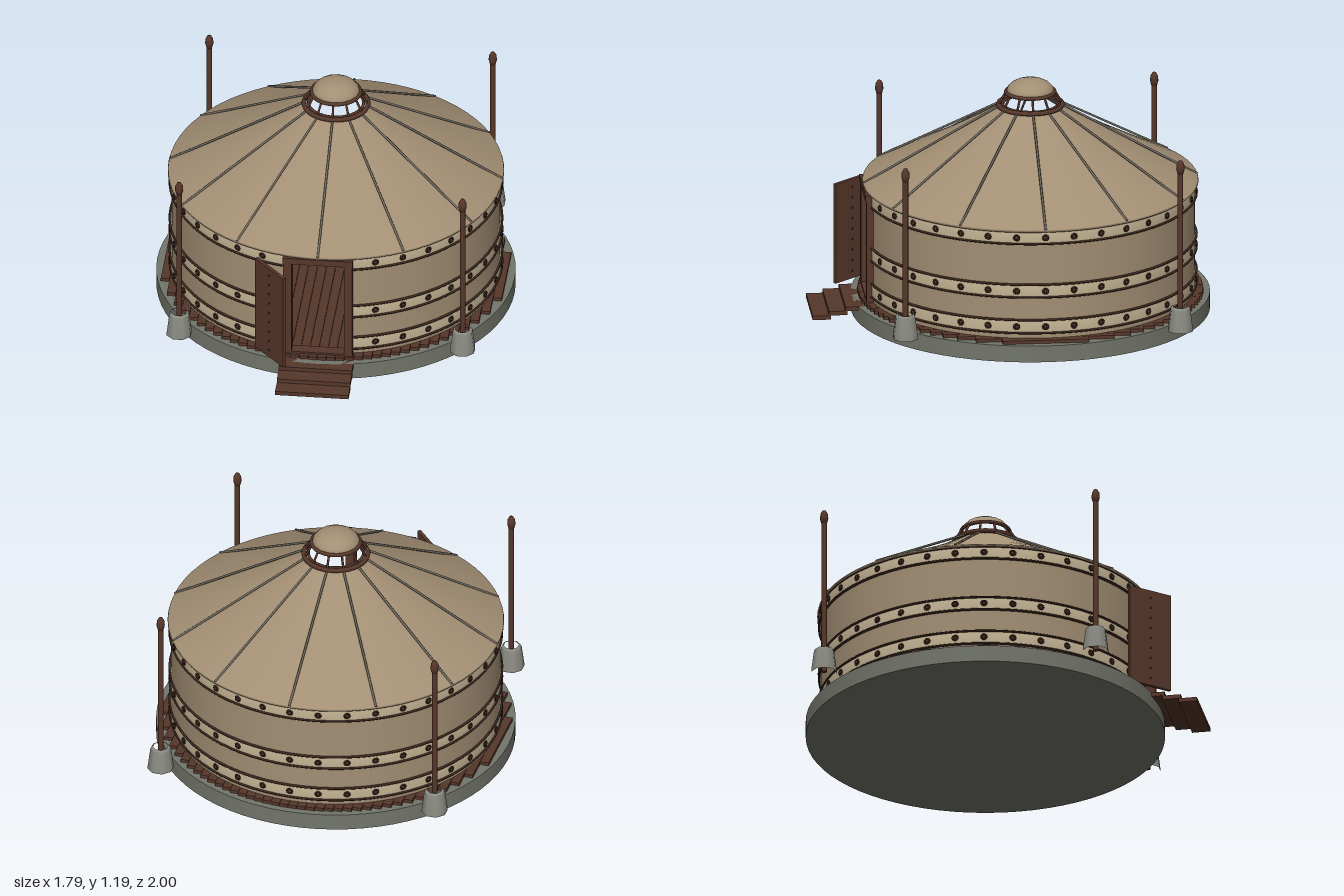
import * as THREE from 'three';

const mat = (name, color) => {
  const m = new THREE.MeshStandardMaterial({ color });
  m.name = name;
  return m;
};

export function createModel() {
  const felt = mat('felt', 0xa38f74);
  const trim = mat('pale trim', 0xc6b696);
  const wood = mat('brown wood', 0x57372a);
  const dark = mat('dark cord', 0x38241b);
  const stone = mat('platform stone', 0x73766b);
  const footing = mat('footing stone', 0x8b8c83);
  const rope = mat('rope', 0x6f695e);

  const model = new THREE.Group();
  model.name = 'roundTent';
  const tent = new THREE.Group();
  tent.name = 'tent';
  tent.position.z = -0.105;
  model.add(tent);

  const add = (parent, name, geo, material, x = 0, y = 0, z = 0) => {
    const m = new THREE.Mesh(geo, material);
    m.name = name;
    m.position.set(x, y, z);
    parent.add(m);
    return m;
  };
  const box = (w, h, d) => new THREE.BoxGeometry(w, h, d);
  const lathe = (pts, seg = 72, start = 0, len = Math.PI * 2) =>
    new THREE.LatheGeometry(pts.map(p => new THREE.Vector2(...p)), seg, start, len);
  // rod between two points
  const rod = (parent, name, a, b, r, material, sides = 6) => {
    const p = new THREE.Vector3(...a), q = new THREE.Vector3(...b);
    const dir = q.clone().sub(p);
    const m = add(parent, name, new THREE.CylinderGeometry(r, r, dir.length(), sides), material);
    m.position.copy(p).add(q).multiplyScalar(0.5);
    m.quaternion.setFromUnitVectors(new THREE.Vector3(0, 1, 0), dir.normalize());
    return m;
  };

  // stone platform
  add(tent, 'platform', new THREE.CylinderGeometry(0.895, 0.895, 0.085, 72), stone, 0, 0.0425, 0);

  // floor planks cut to a stepped circle
  for (let i = 0; i < 38; i++) {
    const x = (i + 0.5) * 0.045 - 0.855;
    add(tent, 'floorPlank', box(0.0435, 0.018, 2 * Math.sqrt(0.86 ** 2 - x * x)), wood, x, 0.093, 0);
  }

  // felt wall with a gap for the doorway
  const gap = 0.2, sweep = Math.PI * 2 - gap * 2;
  const ringStrip = (name, pts, material) => add(tent, name, lathe(pts, 72, gap, sweep), material);
  ringStrip('wall', [[0.82, 0.1], [0.82, 0.66]], felt);

  // trim bands edged with cord and studded with bolts
  const stud = new THREE.TorusGeometry(0.013, 0.005, 5, 10);
  const studCore = new THREE.SphereGeometry(0.008, 8, 5);
  for (const [low, high] of [[0.13, 0.198], [0.317, 0.383], [0.597, 0.662]]) {
    ringStrip('trimBand', [[0.82, low], [0.826, low], [0.826, high], [0.82, high]], trim);
    for (const y of [low, high]) {
      ringStrip('bandCord', [[0.824, y - 0.006], [0.832, y - 0.004], [0.834, y], [0.832, y + 0.004], [0.824, y + 0.006]], dark);
    }
    for (let i = 2; i < 35; i++) {
      const a = i * Math.PI / 18;
      const g = new THREE.Group();
      g.name = 'bandStud';
      g.position.set(Math.sin(a) * 0.829, (low + high) / 2, Math.cos(a) * 0.829);
      g.rotation.y = a;
      add(g, 'studRing', stud, dark);
      add(g, 'studCore', studCore, wood);
      tent.add(g);
    }
  }

  // conical roof and its ropes
  add(tent, 'roof', lathe([[0.82, 0.655], [0.838, 0.662], [0.835, 0.672], [0.65, 0.767], [0.45, 0.873], [0.28, 0.971], [0.15, 1.052]]), felt);
  for (let i = 0; i < 12; i++) {
    const a = i * Math.PI / 6, s = Math.sin(a), c = Math.cos(a);
    rod(tent, 'roofRope', [s * 0.15, 1.06, c * 0.15], [s * 0.835, 0.672, c * 0.835], 0.006, rope);
    // crown spokes
    rod(tent, 'crownSpoke', [s * 0.16, 1.06, c * 0.16], [s * 0.122, 1.126, c * 0.122], 0.006, wood);
  }

  // crown rings and cap
  for (const [r, y, t] of [[0.16, 1.06, 0.012], [0.138, 1.062, 0.008], [0.121, 1.126, 0.01]]) {
    add(tent, 'crownRing', new THREE.TorusGeometry(r, t, 8, 36), wood, 0, y, 0).rotation.x = Math.PI / 2;
  }
  add(tent, 'crownCap', new THREE.SphereGeometry(0.12, 16, 5, 0, Math.PI * 2, 0, Math.PI / 2), felt, 0, 1.128, 0).scale.y = 0.55;

  // doorway frame
  for (const side of [-1, 1]) {
    add(tent, 'doorJamb', box(0.042, 0.56, 0.06), wood, side * 0.152, 0.375, 0.805);
  }
  add(tent, 'doorLintel', box(0.35, 0.034, 0.065), wood, 0, 0.644, 0.807);
  add(tent, 'doorSill', box(0.35, 0.024, 0.06), wood, 0, 0.1, 0.805);

  // open door leaf with rivets
  const door = new THREE.Group();
  door.name = 'door';
  door.position.set(-0.232, 0.36, 0.77);
  door.rotation.y = -Math.atan2(0.18, 0.16);
  add(door, 'doorLeaf', box(0.24, 0.52, 0.018), wood);
  for (let i = 0; i < 9; i++) {
    for (const z of [-0.009, 0.009]) {
      add(door, 'doorRivet', new THREE.SphereGeometry(0.005, 6, 4), dark, 0, i * 0.055 - 0.22, z);
    }
  }
  model.add(door);

  // front steps
  for (let i = 0; i < 3; i++) {
    add(model, 'step', box(0.368, 0.021, 0.092), wood, 0, 0.0745 - i * 0.0215, 0.79 + i * 0.082);
  }

  // four posts standing in hollow octagonal footings
  for (const x of [-0.71, 0.71]) {
    for (const z of [-0.79, 0.585]) {
      const post = new THREE.Group();
      post.name = 'post';
      post.position.set(x, 0, z);
      add(post, 'footing', lathe([[0.065, 0.086], [0.065, 0.1], [0.052, 0.2], [0.047, 0.21], [0.038, 0.212]], 8), footing).rotation.y = Math.PI / 8;
      rod(post, 'pole', [0, 0.09, 0], [0, 0.92, 0], 0.014, wood, 10);
      add(post, 'poleTip', lathe([[0, 0.9], [0.014, 0.905], [0.021, 0.93], [0.019, 0.955], [0.01, 0.973], [0, 0.977]], 12), wood);
      model.add(post);
    }
  }

  // robe with hat and boots on a stand, beside a round shield
  const stand = new THREE.Group();
  stand.name = 'robeStand';
  stand.position.set(0, 0, -0.5);
  tent.add(stand);
  add(stand, 'robe', lathe([[0, 0.23], [0.075, 0.235], [0.06, 0.36], [0.07, 0.46], [0.045, 0.495], [0, 0.51]], 16), wood).scale.z = 0.6;
  add(stand, 'mask', new THREE.SphereGeometry(0.032, 12, 8), dark, 0, 0.535, 0.01);
  add(stand, 'hat', lathe([[0, 0.55], [0.045, 0.552], [0.04, 0.58], [0.02, 0.6], [0, 0.605]], 12), wood);
  for (const side of [-1, 1]) {
    rod(stand, 'hatHorn', [side * 0.03, 0.57, 0], [side * 0.09, 0.615, 0], 0.013, wood);
    rod(stand, 'sleeve', [side * 0.065, 0.465, 0], [side * 0.105, 0.32, 0.02], 0.024, wood, 8);
    add(stand, 'shoulderFur', new THREE.SphereGeometry(0.03, 10, 6), trim, side * 0.07, 0.475, 0.01).scale.y = 0.6;
    for (let i = 0; i < 8; i++) {
      add(stand, 'braidKnot', new THREE.SphereGeometry(0.014, 8, 5), trim, side * 0.046, 0.46 - i * 0.025, 0.045);
    }
    add(stand, 'boot', box(0.04, 0.1, 0.06), wood, side * 0.035, 0.155, 0.02);
  }
  add(stand, 'standShelf', box(0.34, 0.016, 0.08), wood, 0, 0.218, 0);
  for (const x of [-0.16, 0.16]) add(stand, 'shelfLeg', box(0.016, 0.12, 0.06), wood, x, 0.155, 0);
  add(stand, 'shield', new THREE.CylinderGeometry(0.08, 0.08, 0.015, 24), trim, 0.125, 0.38, 0.03).rotation.x = Math.PI / 2;
  add(stand, 'shieldRim', new THREE.TorusGeometry(0.08, 0.007, 6, 24), wood, 0.125, 0.38, 0.03);
  for (let i = 0; i < 8; i++) {
    const a = i * Math.PI / 4;
    add(stand, 'shieldStud', new THREE.SphereGeometry(0.006, 6, 4), dark, 0.125 + Math.cos(a) * 0.05, 0.38 + Math.sin(a) * 0.05, 0.038);
  }

  return model;
}
